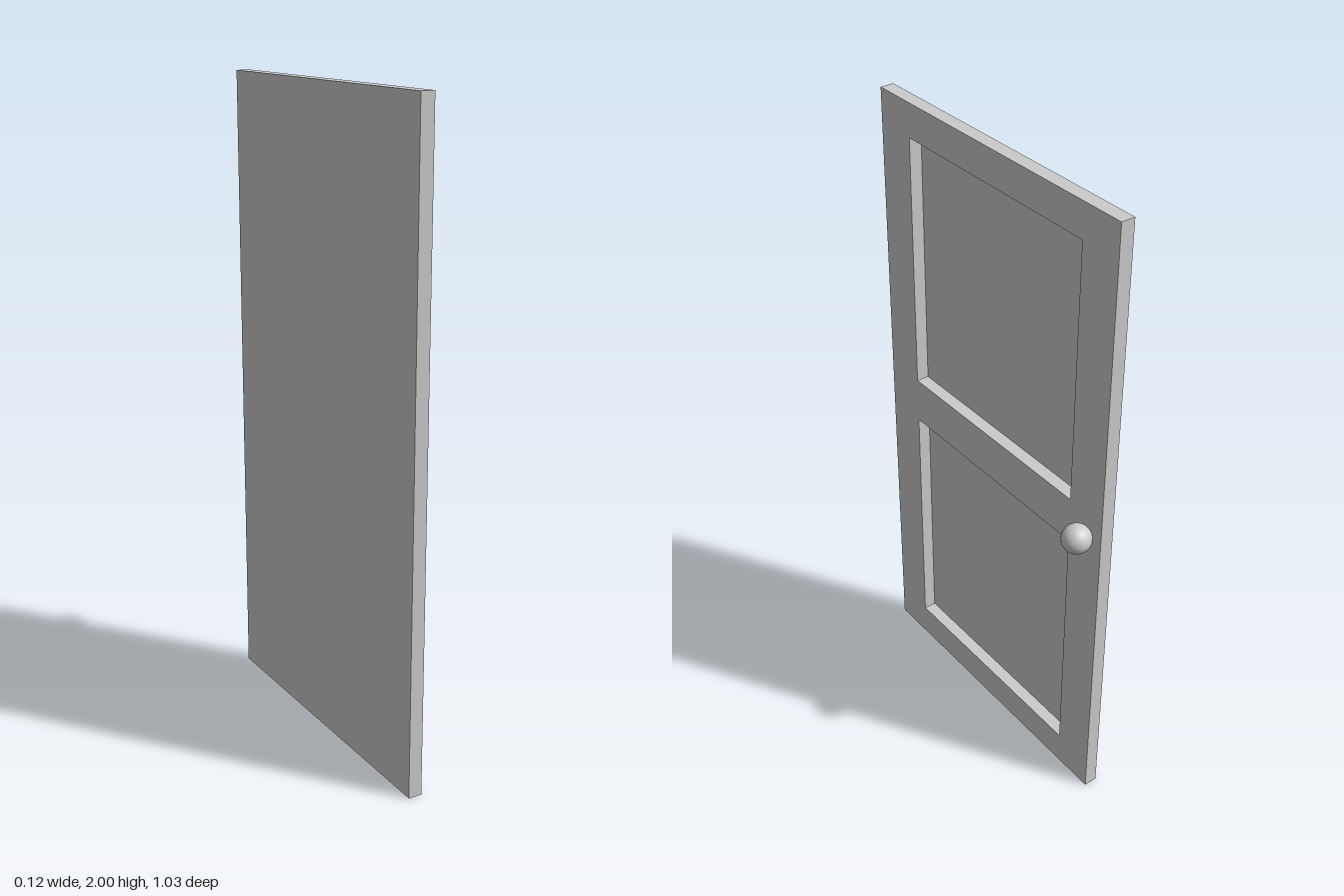
import * as THREE from 'three';

export function createModel() {
  const door = new THREE.Group();
  door.name = 'door';
  const material = new THREE.MeshStandardMaterial({ color: 0xcccccc });

  const backX = -0.061, thickness = 0.043, panelThickness = 0.003;
  const halfWidth = 0.513, height = 2;
  const panelHalf = 0.376;
  const panels = [
    { name: 'lowerPanel', bottom: 0.11, top: 0.93 },
    { name: 'upperPanel', bottom: 1.08, top: 1.895 },
  ];

  const rectangle = (PathType, half, bottom, top) => new PathType([
    new THREE.Vector2(-half, bottom), new THREE.Vector2(half, bottom),
    new THREE.Vector2(half, top), new THREE.Vector2(-half, top),
  ]);

  // Frame: stiles and rails in one piece, with two openings
  const outline = rectangle(THREE.Shape, halfWidth, 0, height);
  for (const p of panels) outline.holes.push(rectangle(THREE.Path, panelHalf, p.bottom, p.top));
  const frameGeometry = new THREE.ExtrudeGeometry(outline, { depth: thickness, bevelEnabled: false });
  frameGeometry.rotateY(Math.PI / 2);
  const frame = new THREE.Mesh(frameGeometry, material);
  frame.name = 'doorFrame';
  frame.position.x = backX;
  door.add(frame);

  // Thin panels, flush with the back and deeply recessed on the knob side
  for (const p of panels) {
    const panel = new THREE.Mesh(
      new THREE.BoxGeometry(panelThickness, p.top - p.bottom, panelHalf * 2), material);
    panel.name = p.name;
    panel.position.set(backX + panelThickness / 2, (p.top + p.bottom) / 2, 0);
    door.add(panel);
  }

  // Round knob, partly sunk into the stile
  const knob = new THREE.Mesh(new THREE.SphereGeometry(0.045, 32, 16), material);
  knob.name = 'knob';
  knob.position.set(0.016, 1.003, -0.449);
  door.add(knob);

  return door;
}
